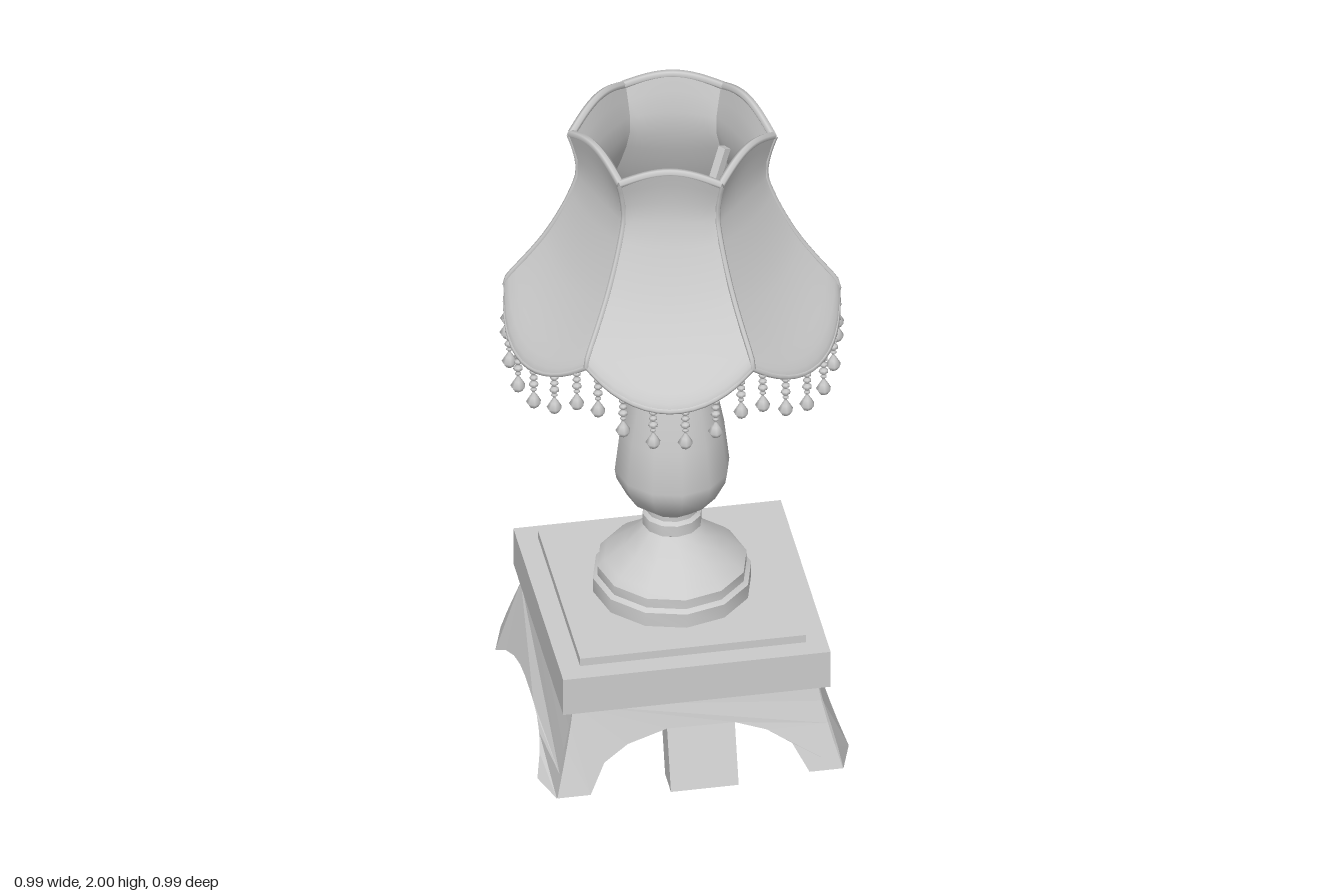
import * as THREE from 'three';
import { mergeGeometries, toCreasedNormals } from 'three/addons/utils/BufferGeometryUtils.js';

const V2 = (a) => a.map(([x, y]) => new THREE.Vector2(x, y));
const grey = new THREE.MeshStandardMaterial({ color: 0xcccccc });
const thin = new THREE.MeshStandardMaterial({ color: 0xcccccc, side: THREE.DoubleSide });

export function createModel() {
  const model = new THREE.Group();
  const add = (name, geometry, material = grey) => {
    const mesh = new THREE.Mesh(geometry, material);
    mesh.name = name;
    model.add(mesh);
    return mesh;
  };

  // Square base: slab and raised plate
  const box = (name, w, y0, y1) =>
    add(name, new THREE.BoxGeometry(w, y1 - y0, w).translate(0, (y0 + y1) / 2, 0));
  box('baseSlab', 0.77, 0.265, 0.385);
  box('basePlate', 0.65, 0.38, 0.41);

  // Vaulted underside running from front to back
  const vault = [[-0.3, 0.27], [-0.3, 0.105], [-0.27, 0.105], [-0.2, 0.145], [-0.1, 0.177],
    [0.1, 0.177], [0.2, 0.145], [0.27, 0.105], [0.3, 0.105], [0.3, 0.27]];
  add('baseVault', new THREE.ExtrudeGeometry(new THREE.Shape(V2(vault)), { depth: 0.64, bevelEnabled: false })
    .translate(0, 0, -0.32));

  // Flared apron side: an arched board whose foot swings outwards
  const TOP = 0.275, DEPTH = 0.09;
  const flare = (y) => Math.pow(Math.max(0, 1 - y / TOP), 1.2);
  function apronSide(name, halfTop, halfFoot, outTop, outFoot, bulge, arch, turn) {
    const edge = [0, 0.25, 0.5, 0.75, 1].map((t) => {
      const y = 0.015 + t * (TOP - 0.015);
      return [halfTop + (halfFoot - halfTop) * flare(y), y];
    });
    const outline = [...edge, ...edge.map(([s, y]) => [-s, y]).reverse(), ...arch];
    const geo = new THREE.ExtrudeGeometry(new THREE.Shape(V2(outline)), { depth: DEPTH, bevelEnabled: false });
    const p = geo.attributes.position;
    for (let i = 0; i < p.count; i++) {
      const s = p.getX(i), y = p.getY(i), inward = DEPTH - p.getZ(i);
      const swell = bulge * THREE.MathUtils.clamp((halfFoot - Math.abs(s)) / 0.115, 0, 1);
      if (Math.abs(s) > 0.33) p.setX(i, s - Math.sign(s) * inward);
      p.setZ(i, outTop + (outFoot + swell - outTop) * flare(y) - inward);
    }
    geo.rotateY(turn);
    geo.computeVertexNormals();
    add(name, geo);
  }
  const sideArch = [];
  for (let i = 0; i <= 10; i++) {
    const s = -1 + i / 5;
    sideArch.push([s * 0.325, 0.015 + 0.085 * (1 - Math.pow(Math.abs(s), 3))]);
  }
  // The front and back carry a middle foot between two half arches
  const frontArch = [[-0.315, 0.015], [-0.27, 0.1], [-0.2, 0.145], [-0.085, 0.177], [-0.085, 0],
    [0.11, 0], [0.11, 0.175], [0.2, 0.145], [0.27, 0.1], [0.315, 0.015]];
  const backArch = frontArch.map(([s, y]) => [-s, y]).reverse();
  for (const k of [0, 1]) {
    apronSide(k ? 'backApron' : 'frontApron', 0.35, 0.415, 0.355, 0.44, 0, k ? backArch : frontArch, k * Math.PI);
    apronSide(k ? 'rightApron' : 'leftApron', 0.355, 0.44, 0.35, 0.415, 0.04, sideArch, Math.PI / 2 + k * Math.PI);
  }

  // Turned stem
  const stem = [[0, 0.4], [0.228, 0.4], [0.228, 0.455], [0.215, 0.465], [0.215, 0.495], [0.195, 0.515],
    [0.14, 0.555], [0.1, 0.595], [0.078, 0.62], [0.085, 0.625], [0.085, 0.66], [0.075, 0.67], [0.075, 0.685],
    [0.13, 0.73], [0.16, 0.79], [0.165, 0.82], [0.15, 0.95], [0.125, 1.08], [0.102, 1.165], [0.098, 1.18],
    [0.065, 1.205], [0.045, 1.25], [0.035, 1.31], [0.045, 1.335], [0.045, 1.37], [0, 1.37]];
  add('stem', toCreasedNormals(new THREE.LatheGeometry(V2(stem), 12), 0.6));

  // Four arms rising from the stem towards the shade
  for (const sx of [-1, 1]) for (const sz of [-1, 1]) {
    const a = new THREE.Vector3(sx * 0.005, 1.34, sz * 0.005);
    const b = new THREE.Vector3(sx * 0.175, 1.8, sz * 0.125);
    const arm = add('shadeArm', new THREE.BoxGeometry(0.025, 0.025, a.distanceTo(b)));
    arm.position.copy(a).add(b).multiplyScalar(0.5);
    arm.lookAt(b);
  }

  // Six-panelled shade: straight-sided at the neck, round at the hem
  const A0 = THREE.MathUtils.degToRad(11.5), STEP = Math.PI / 3;
  const profile = new THREE.SplineCurve(V2([[0.297, 0], [0.269, 0.25], [0.33, 0.56], [0.398, 0.77],
    [0.465, 0.94], [0.474, 1]]));
  function shadePoint(k, u, v, inset = 0) {
    const c = profile.getPoint(v);
    const r = c.x - inset * (1 - 0.6 * c.y);
    const wave = Math.sin(Math.PI * u);
    const a = A0 + k * STEP, b = a + STEP;
    let x = r * (Math.cos(a) * (1 - u) + Math.cos(b) * u);
    let z = r * (Math.sin(a) * (1 - u) + Math.sin(b) * u);
    const d = Math.hypot(x, z);
    const round = 1 + (r * (1 + 0.025 * wave) / d - 1) * c.y * c.y;
    x *= round;
    z *= round;
    const y = THREE.MathUtils.lerp(1.95 + 0.04 * wave, 1.43 - 0.1 * wave, c.y);
    return new THREE.Vector3(x, y, z);
  }
  const tube = (f, n, r) => {
    const pts = Array.from({ length: n + 1 }, (_, i) => f(i / n));
    return new THREE.TubeGeometry(new THREE.CatmullRomCurve3(pts), n * 2, r, 6);
  };

  // One bead strand, hanging from y = 0: small beads ending in a drop
  const strand = [[0.004, 0]];
  const beads = [[0.013, 0.02], [0.013, 0.02], [0.015, 0.024], [0.01, 0.012], [0.022, 0.06]];
  let top = -0.002;
  for (const [r, h] of beads) {
    for (const t of [0.08, 0.3, 0.6, 0.85]) {
      const swell = Math.sin(Math.PI * (h > 0.05 ? Math.pow(t, 1.4) : t));
      strand.push([Math.max(0.004, r * swell), top - t * h]);
    }
    top -= h;
  }
  strand.push([0, top]);
  const strandGeo = new THREE.LatheGeometry(V2(strand.reverse()), 7);

  const fringe = [], piping = [];
  for (let k = 0; k < 6; k++) {
    for (const inset of [0, 0.03]) {
      const geo = new THREE.PlaneGeometry(1, 1, 10, 14);
      const p = geo.attributes.position;
      for (let i = 0; i < p.count; i++) {
        const q = shadePoint(k, 0.5 - p.getX(i), 0.5 - p.getY(i), inset);
        p.setXYZ(i, q.x, q.y, q.z);
      }
      geo.computeVertexNormals();
      add(inset ? 'shadeLining' : 'shadePanel', geo, thin);
    }
    piping.push(tube((t) => shadePoint(k, 0, t, 0.004), 10, 0.008));
    piping.push(tube((t) => shadePoint(k, t, 0, 0.012), 8, 0.012));
    piping.push(tube((t) => shadePoint(k, t, 1, 0.015), 8, 0.009));
    for (let i = 0; i < 6; i++) {
      const q = shadePoint(k, (i + 0.5) / 6, 1, 0.025);
      fringe.push(strandGeo.clone().translate(q.x, q.y, q.z));
    }
  }
  add('shadePiping', mergeGeometries(piping));
  add('beadFringe', mergeGeometries(fringe));
  return model;
}
